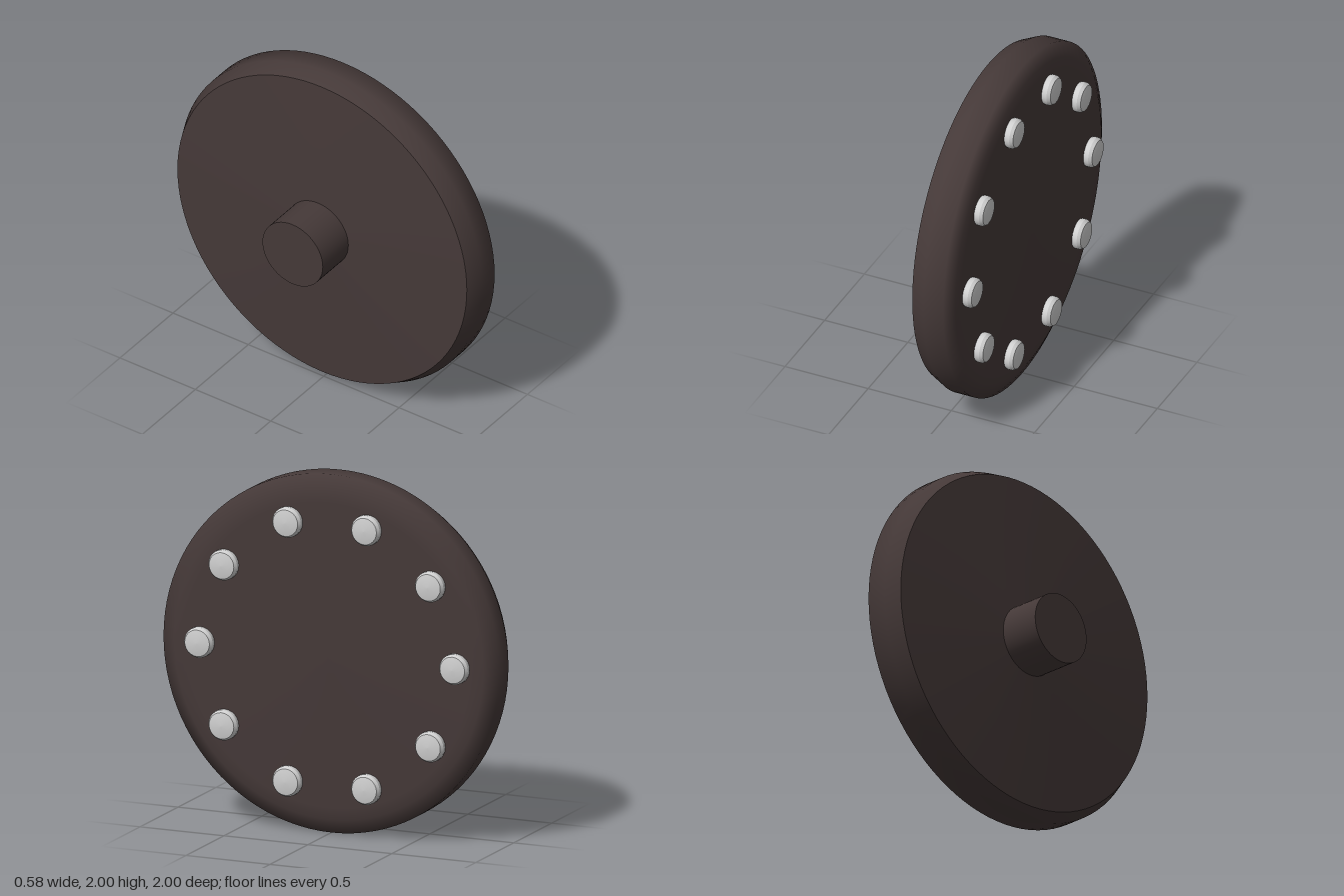
import * as THREE from 'three';
import { mergeGeometries } from 'three/addons/utils/BufferGeometryUtils.js';

// Each band is a smooth run of [x, radius] points turned about the x axis;
// edges between bands stay sharp.
function turned(bands, sides) {
  const parts = bands.map((band) =>
    new THREE.LatheGeometry(band.map(([x, r]) => new THREE.Vector2(r, x)), sides));
  return mergeGeometries(parts).rotateZ(-Math.PI / 2);
}

export function createModel() {
  const group = new THREE.Group();
  const darkBrown = new THREE.MeshStandardMaterial({ color: 0x453938 });
  darkBrown.name = 'darkBrown';
  const lightGrey = new THREE.MeshStandardMaterial({ color: 0xcfcfcf });
  lightGrey.name = 'lightGrey';

  const add = (name, geometry, material, y = 1, z = 0) => {
    const mesh = new THREE.Mesh(geometry, material);
    mesh.name = name;
    mesh.position.set(0, y, z);
    group.add(mesh);
  };

  // Disc: shallow cone at the back, rounded rim, slightly domed face
  add('disc', turned([
    [[-0.055, 0], [-0.052, 0.2], [-0.015, 0.96]],
    [[-0.015, 0.96], [0.07, 1], [0.19, 1], [0.225, 0.92], [0.229, 0.85], [0.243, 0.1], [0.244, 0]],
  ], 96), darkBrown);

  // Axle stub
  add('axle', turned([
    [[-0.293, 0], [-0.293, 0.2]],
    [[-0.293, 0.2], [-0.05, 0.2]],
  ], 48), darkBrown);

  // Ring of ten bolts with low domed heads
  const bolt = turned([
    [[0.215, 0.076], [0.238, 0.085], [0.262, 0.085]],
    [[0.262, 0.085], [0.28, 0.074]],
    [[0.28, 0.074], [0.287, 0.04], [0.289, 0]],
  ], 24);
  for (let i = 0; i < 10; i++) {
    const a = (i / 10) * Math.PI * 2;
    add(`bolt${i + 1}`, bolt, lightGrey, 1 + 0.76 * Math.sin(a), 0.76 * Math.cos(a));
  }
  return group;
}
